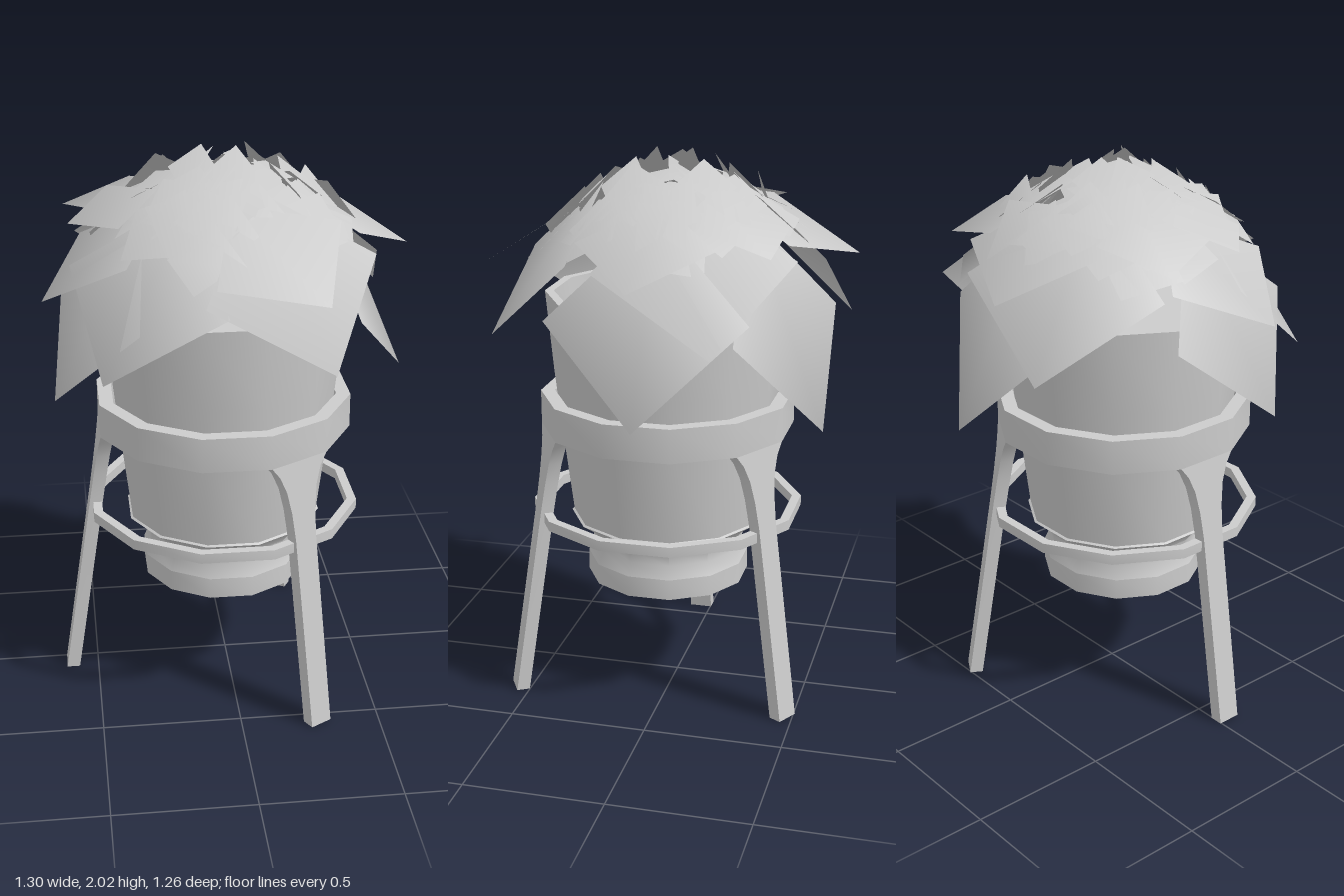
import * as THREE from 'three';
import { toCreasedNormals } from 'three/addons/utils/BufferGeometryUtils.js';

const grey = new THREE.MeshStandardMaterial({ color: 0xcccccc });
const greyThin = new THREE.MeshStandardMaterial({ color: 0xcccccc, side: THREE.DoubleSide });
const SIDES = 12;
const FLAT = Math.cos(Math.PI / SIDES); // apothem / corner radius

function add(parent, name, geometry, material = grey) {
  const mesh = new THREE.Mesh(geometry, material);
  mesh.name = name;
  parent.add(mesh);
  return mesh;
}

// Twelve-sided turned part with a flat facing each axis
function turned(points) {
  const g = new THREE.LatheGeometry(points.map(([r, y]) => new THREE.Vector2(r, y)), SIDES);
  g.rotateY(Math.PI / SIDES);
  return toCreasedNormals(g, 0.75);
}

// Square-section hoop, sized across its flats
function hoop(inner, outer, y0, y1) {
  const a = inner / FLAT, b = outer / FLAT;
  return turned([[b, y0], [b, y1], [a, y1], [a, y0], [b, y0]]);
}

// Splayed leg along +x, flaring into the upper hoop
function legGeometry() {
  const rows = [[0, 0.043], [0.72, 0.045], [0.82, 0.052], [0.9, 0.066], [0.96, 0.09], [1.0, 0.12]];
  const last = rows.length - 1;
  const g = new THREE.BoxGeometry(2, last, 2, 1, last, 1);
  const p = g.attributes.position;
  for (let i = 0; i < p.count; i++) {
    const [y, half] = rows[Math.round(p.getY(i) + last / 2)];
    const outer = 0.605 - 0.155 * y;
    p.setXYZ(i, p.getX(i) > 0 ? outer : outer - 0.048, y, p.getZ(i) * half);
  }
  return toCreasedNormals(g, 0.5);
}

// Flat square leaf: base and tip are opposite corners, roll tilts it about that
// diagonal, and the normals fan out from inside the dome for soft shading
function leafGeometry(base, tip, roll = 0) {
  const along = tip.clone().sub(base);
  const half = along.length() / 2;
  along.normalize();
  const out = new THREE.Vector3(base.x + tip.x, 0, base.z + tip.z).normalize();
  out.y = 0.7;
  const side = new THREE.Vector3().crossVectors(along, out).normalize().applyAxisAngle(along, roll);
  const g = new THREE.PlaneGeometry(1, 1);
  const { position: p, normal: n } = g.attributes;
  const v = new THREE.Vector3();
  for (let i = 0; i < p.count; i++) {
    const a = p.getX(i) + 0.5, b = p.getY(i) + 0.5;
    v.lerpVectors(base, tip, (a + b) / 2).addScaledVector(side, (a - b) * half);
    p.setXYZ(i, v.x, v.y, v.z);
    v.y -= 1.2;
    v.normalize();
    n.setXYZ(i, v.x, v.y, v.z);
  }
  return g;
}

const polar = (r, a, y) => new THREE.Vector3(r * Math.cos(a), y, r * Math.sin(a));
const domeY = (r) => 1.945 - 1.05 * r * r;

function seeded(seed) {
  return () => (seed = (seed * 16807) % 2147483647) / 2147483647;
}

export function createModel() {
  const model = new THREE.Group();
  model.name = 'pottedPlantOnStand';

  const planter = new THREE.Group();
  planter.name = 'planter';
  planter.position.set(-0.015, 0, 0.04);
  model.add(planter);

  // Stand
  const stand = new THREE.Group();
  stand.name = 'stand';
  planter.add(stand);
  add(stand, 'upperHoop', hoop(0.4, 0.45, 1.0, 1.125));
  add(stand, 'lowerHoop', hoop(0.45, 0.483, 0.668, 0.705));
  const leg = legGeometry();
  for (let i = 0; i < 3; i++) {
    add(stand, 'leg', leg).rotation.y = Math.PI / 3 + i * Math.PI * 2 / 3;
  }

  // Pot: base drum, waisted neck and tapered body, open at the rim
  add(planter, 'potBase', turned([[0, 0.415], [0.3, 0.415], [0.3, 0.492]]), greyThin);
  add(planter, 'potNeck', turned([
    [0.3, 0.492], [0.28, 0.54], [0.283, 0.585], [0.31, 0.62], [0.36, 0.655], [0.345, 0.665],
  ]), greyThin);
  add(planter, 'potBody', turned([
    [0.352, 0.66], [0.393, 1.0], [0.415, 1.2], [0.442, 1.5], [0.41, 1.5], [0.405, 1.42],
  ]), greyThin);
  add(planter, 'soil', turned([[0.41, 1.42], [0, 1.43]]), greyThin);

  // Foliage: tip corner, base corner, optional roll
  const foliage = new THREE.Group();
  foliage.name = 'foliage';
  model.add(foliage);
  const leaves = {
    largeLeaf: [
      [0.645, 1.17, 0.0, 0.3, 1.83, 0, 0.15], [0.3, 1.38, 0.6, 0.06, 1.92, 0.24],
      [-0.46, 1.33, 0.48, -0.14, 1.88, 0.2], [-0.62, 1.17, 0.21, -0.29, 1.82, 0.08],
      [0.17, 1.07, -0.565, 0.07, 1.8, -0.28], [-0.31, 1.39, -0.59, -0.11, 1.93, -0.18],
      [0.59, 1.42, -0.25, 0.15, 1.93, -0.05],
    ],
    middleLeaf: [
      [0.65, 1.64, 0.01, 0.22, 1.86, 0], [-0.65, 1.52, 0.16, -0.22, 1.83, 0.03],
      [-0.56, 1.75, -0.23, -0.22, 1.87, -0.08], [-0.16, 1.64, -0.63, 0.02, 1.9, -0.09],
      [0.39, 1.72, -0.41, 0.14, 1.86, -0.18], [0.27, 1.63, 0.63, -0.01, 1.87, 0.26],
      [-0.55, 1.77, 0.08, -0.24, 1.88, 0.08],
    ],
  };
  for (const [name, list] of Object.entries(leaves)) {
    for (const [x, y, z, bx, by, bz, roll] of list) {
      add(foliage, name, leafGeometry(new THREE.Vector3(bx, by, bz), new THREE.Vector3(x, y, z), roll), greyThin);
    }
  }

  // Small crown leaves, each rolled a little so their corners cut through each other
  const rand = seeded(4711);
  const count = 60;
  for (let i = 0; i < count; i++) {
    const f = (i + 0.5) / count;
    const r = 0.08 + 0.43 * Math.sqrt(f);
    const a = i * 2.39996;
    const tip = polar(r, a, domeY(r) + 0.03 * rand());
    const base = tip.clone().sub(polar(0.17 + 0.1 * f + 0.05 * rand(), a + (rand() - 0.5) * 2.2, 0));
    base.y = domeY(Math.hypot(base.x, base.z)) - 0.04 * rand();
    add(foliage, 'crownLeaf', leafGeometry(base, tip, (rand() - 0.5) * 0.7), greyThin);
  }
  return model;
}
